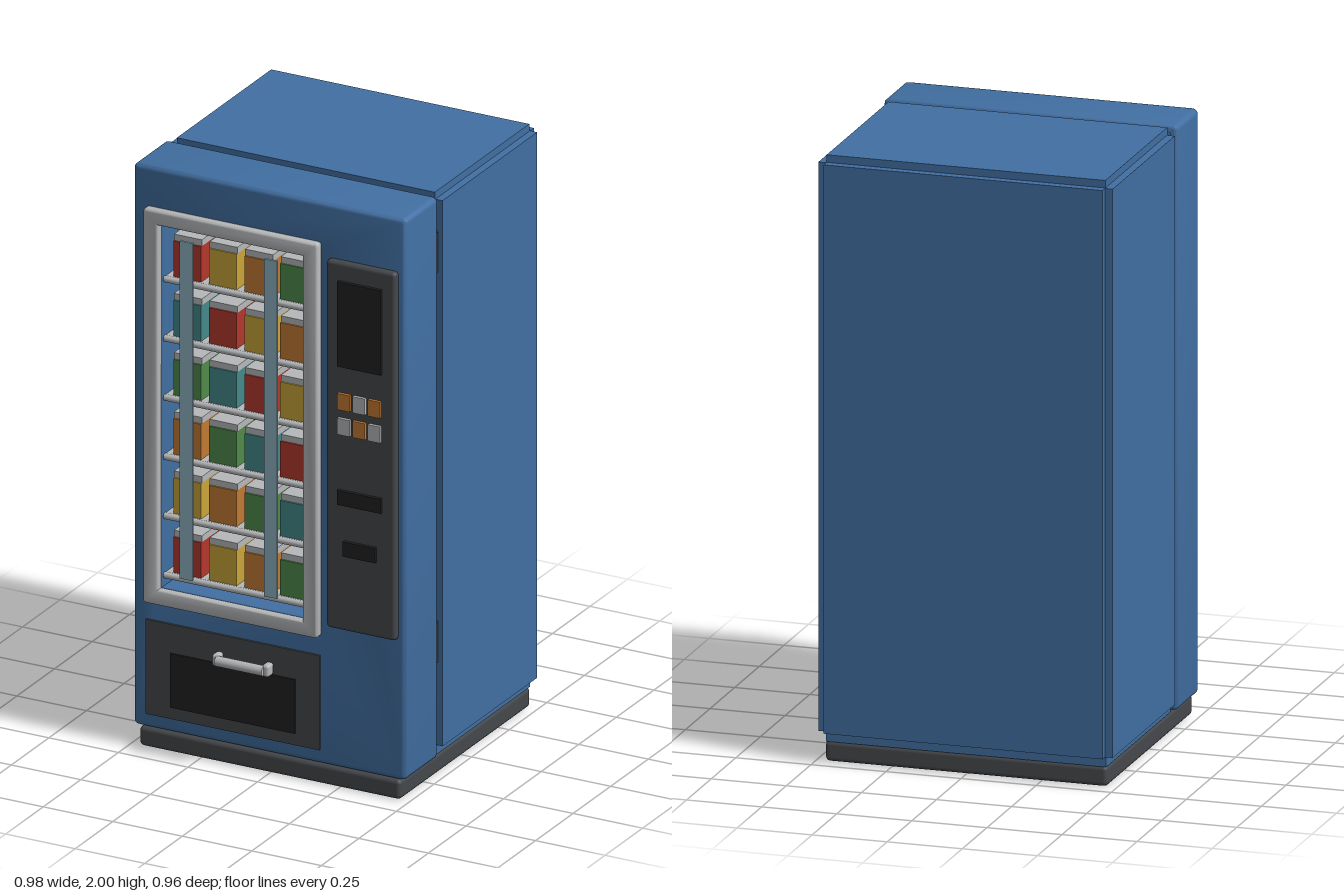
import * as THREE from 'three';
import { RoundedBoxGeometry } from 'three/addons/geometries/RoundedBoxGeometry.js';
import { toCreasedNormals } from 'three/addons/utils/BufferGeometryUtils.js';

const paint = (name, color) => {
  const m = new THREE.MeshStandardMaterial({ color });
  m.name = name;
  return m;
};

// Rounded rectangle outline from its edges
function roundedRect(target, x0, x1, y0, y1, r) {
  target.moveTo(x0 + r, y0);
  target.lineTo(x1 - r, y0);
  target.quadraticCurveTo(x1, y0, x1, y0 + r);
  target.lineTo(x1, y1 - r);
  target.quadraticCurveTo(x1, y1, x1 - r, y1);
  target.lineTo(x0 + r, y1);
  target.quadraticCurveTo(x0, y1, x0, y1 - r);
  target.lineTo(x0, y0 + r);
  target.quadraticCurveTo(x0, y0, x0 + r, y0);
  return target;
}

// Bevelled slab with a rectangular opening
function slabWithOpening([x0, x1, y0, y1], [hx0, hx1, hy0, hy1], z0, z1, b) {
  const shape = roundedRect(new THREE.Shape(), x0 + b, x1 - b, y0 + b, y1 - b, 0.006);
  const hole = new THREE.Path();
  hole.moveTo(hx0 - b, hy0 - b);
  hole.lineTo(hx0 - b, hy1 + b);
  hole.lineTo(hx1 + b, hy1 + b);
  hole.lineTo(hx1 + b, hy0 - b);
  hole.closePath();
  shape.holes.push(hole);
  const geo = new THREE.ExtrudeGeometry(shape, {
    depth: z1 - z0 - 2 * b, bevelEnabled: true, bevelSize: b, bevelThickness: b,
    bevelSegments: 3, curveSegments: 3,
  });
  geo.translate(0, 0, z0 + b);
  return toCreasedNormals(geo, 0.6);
}

export function createModel() {
  const blue = paint('cabinet blue', 0x416fa2);
  const silver = paint('silver', 0xb6b8ba);
  const charcoal = paint('charcoal', 0x45484c);
  const black = paint('black', 0x222222);
  const glint = paint('pale glass', 0x8db3c0);
  const orange = paint('orange', 0xc27a33);
  const packColours = [
    paint('red', 0xb4382d), paint('yellow', 0xcaa53a), orange,
    paint('green', 0x508a4b), paint('teal', 0x45898a),
  ];

  const model = new THREE.Group();
  const add = (name, geo, mat, parent = model) => {
    const mesh = new THREE.Mesh(geo, mat);
    mesh.name = name;
    parent.add(mesh);
    return mesh;
  };
  // Box from its edges, with rounded edges when r > 0
  const box = (name, mat, x0, x1, y0, y1, z0, z1, r = 0, parent = model) => {
    const size = [x1 - x0, y1 - y0, z1 - z0];
    const geo = r ? new RoundedBoxGeometry(...size, 2, r) : new THREE.BoxGeometry(...size);
    const mesh = add(name, geo, mat, parent);
    mesh.position.set((x0 + x1) / 2, (y0 + y1) / 2, (z0 + z1) / 2);
    return mesh;
  };
  const group = (name) => {
    const g = new THREE.Group();
    g.name = name;
    model.add(g);
    return g;
  };

  // Cabinet: core with raised outer panels
  box('base', charcoal, -0.47, 0.47, 0, 0.068, -0.45, 0.42, 0.015);
  box('cabinetCore', blue, -0.466, 0.466, 0.066, 1.975, -0.45, 0.206);
  box('topPanel', blue, -0.464, 0.464, 1.97, 2, -0.45, 0.178);
  box('backPanel', blue, -0.464, 0.464, 0.1, 1.975, -0.48, -0.445);
  for (const s of [-1, 1]) {
    const panel = box('sidePanel', blue, 0.46, 0.49, 0.1, 1.975, -0.455, 0.175);
    panel.position.x *= s;
  }

  // Hinges in the gap behind the door
  for (const y of [0.46, 1.8]) {
    add('hinge', new THREE.CylinderGeometry(0.012, 0.012, 0.14, 12), charcoal)
      .position.set(0.468, y, 0.19);
  }

  // Door with display recess and its trim
  const opening = [-0.388, 0.133, 0.56, 1.813];
  add('door', slabWithOpening([-0.49, 0.49, 0.07, 2], opening, 0.204, 0.42, 0.014), blue);
  box('recessBack', blue, -0.4, 0.145, 0.55, 1.825, 0.205, 0.215);
  add('windowFrame',
    slabWithOpening([-0.442, 0.187, 0.508, 1.864], opening, 0.416, 0.448, 0.008), silver);

  // Shelves stocked with packs
  const display = group('display');
  for (let row = 0; row < 6; row++) {
    const y = 1.623 - row * 0.2035;
    box('shelf', silver, -0.386, 0.131, y - 0.014, y, 0.215, 0.4, 0, display);
    const rail = add('shelfRail', new THREE.CylinderGeometry(0.011, 0.011, 0.517, 12), silver, display);
    rail.rotation.z = Math.PI / 2;
    rail.position.set(-0.1275, y - 0.008, 0.402);
    for (let col = 0; col < 4; col++) {
      const x = -0.312 + col * 0.128;
      const mat = packColours[(col - row + 10) % 5];
      box('pack', mat, x - 0.05, x + 0.05, y, y + 0.122, 0.27, 0.39, 0, display);
      box('packLid', silver, x - 0.05, x + 0.05, y + 0.122, y + 0.144, 0.275, 0.385, 0, display);
    }
  }

  // Reflection strips on the window plane
  for (const x of [-0.282, 0.022]) {
    box('glassStrip', glint, x - 0.023, x + 0.023, 0.62, 1.78, 0.445, 0.453);
  }

  // Control panel
  const controls = group('controlPanel');
  box('panel', charcoal, 0.217, 0.467, 0.555, 1.82, 0.416, 0.447, 0.013, controls);
  box('screen', black, 0.263, 0.42, 1.465, 1.757, 0.445, 0.458, 0, controls);
  box('cardSlot', black, 0.263, 0.42, 0.99, 1.04, 0.445, 0.458, 0, controls);
  box('coinReturn', black, 0.284, 0.4, 0.816, 0.867, 0.445, 0.458, 0, controls);
  for (let i = 0; i < 6; i++) {
    const x = 0.286 + (i % 3) * 0.055;
    const y = i < 3 ? 1.345 : 1.26;
    box('button', i % 2 ? silver : orange, x - 0.022, x + 0.022, y - 0.028, y + 0.028, 0.445, 0.458, 0, controls);
  }

  // Delivery hatch with pull handle
  const hatch = group('deliveryHatch');
  box('hatchPlate', charcoal, -0.442, 0.183, 0.118, 0.443, 0.419, 0.427, 0, hatch);
  box('flap', black, -0.352, 0.098, 0.159, 0.345, 0.425, 0.432, 0, hatch);
  const bar = add('handleBar', new THREE.CylinderGeometry(0.017, 0.017, 0.17, 20), silver, hatch);
  bar.rotation.z = Math.PI / 2;
  bar.position.set(-0.083, 0.367, 0.461);
  for (const x of [-0.173, 0.007]) {
    box('handleMount', silver, x - 0.013, x + 0.013, 0.346, 0.388, 0.425, 0.464, 0.01, hatch);
  }

  return model;
}
